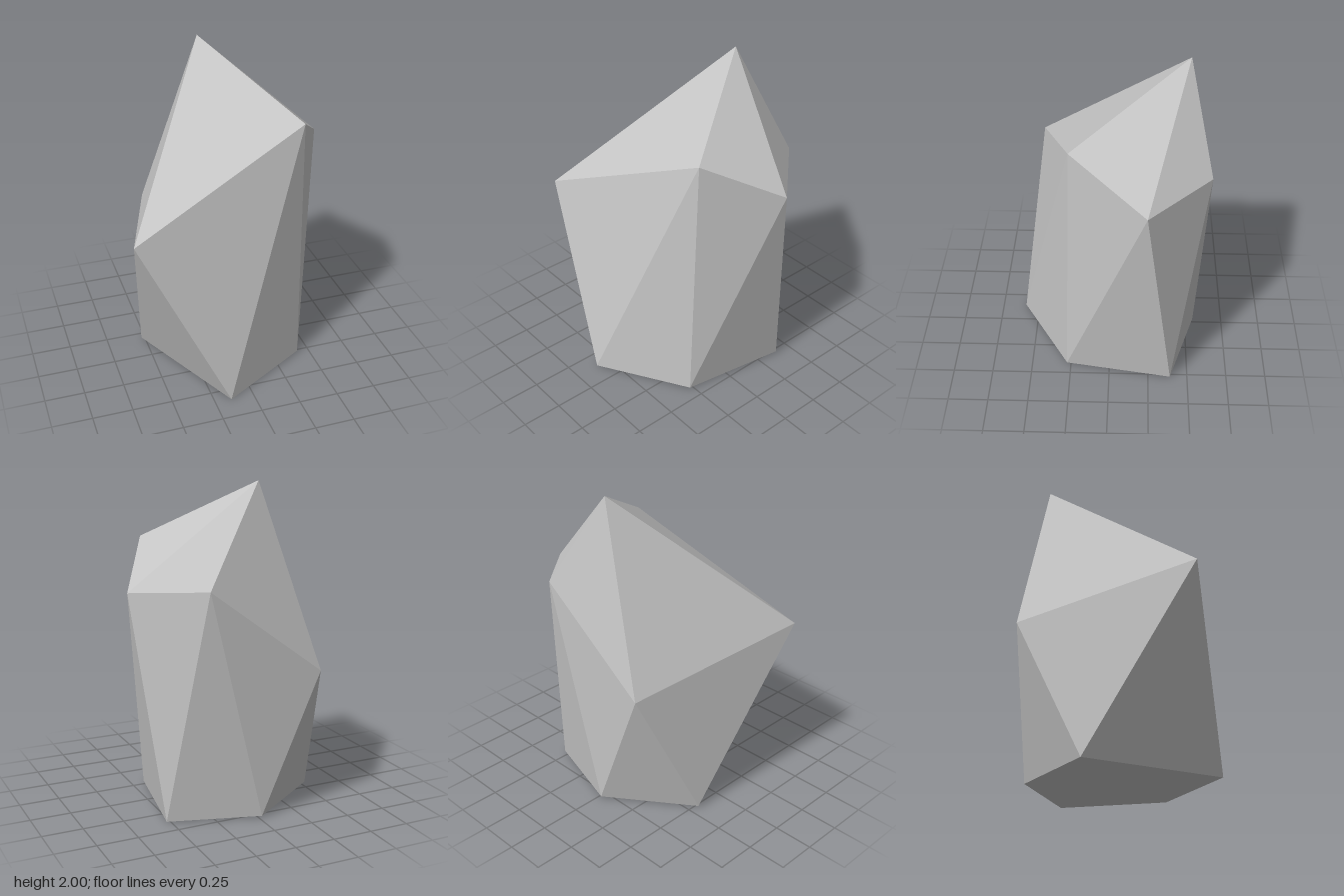
import * as THREE from 'three';

// Faceted rock: base ring, shoulder ring and tip, both rings anticlockwise from above
const base = [[-0.145, 0, 0.595], [0.42, 0.01, 0.275], [0.53, 0.01, -0.39], [-0.02, 0.01, -0.555], [-0.525, 0.01, -0.19]];
const shoulder = [[-0.685, 1.12, 0.465], [0.43, 1.63, 0.23], [0.685, 1.37, -0.22], [0.335, 1.41, -0.595], [-0.385, 0.88, -0.59]];
const tip = [-0.025, 2, -0.46];

export function createModel() {
  const stone = new THREE.MeshStandardMaterial({ color: 0xc6c6c6, flatShading: true });
  stone.name = 'stone grey';

  const corners = [];
  const tri = (a, b, c) => corners.push(...a, ...b, ...c);
  const n = base.length;
  for (let i = 0; i < n; i++) {
    const j = (i + 1) % n;
    // Sides zigzag between the two rings
    tri(base[i], base[j], shoulder[j]);
    tri(base[i], shoulder[j], shoulder[i]);
    // Crown facets rise to the tip
    tri(shoulder[i], shoulder[j], tip);
    // Underside fan
    if (i > 0 && i < n - 1) tri(base[0], base[j], base[i]);
  }

  const geometry = new THREE.BufferGeometry();
  geometry.setAttribute('position', new THREE.Float32BufferAttribute(corners, 3));
  geometry.computeVertexNormals();

  const rock = new THREE.Mesh(geometry, stone);
  rock.name = 'rock';
  const group = new THREE.Group();
  group.name = 'facetedRock';
  group.add(rock);
  return group;
}
